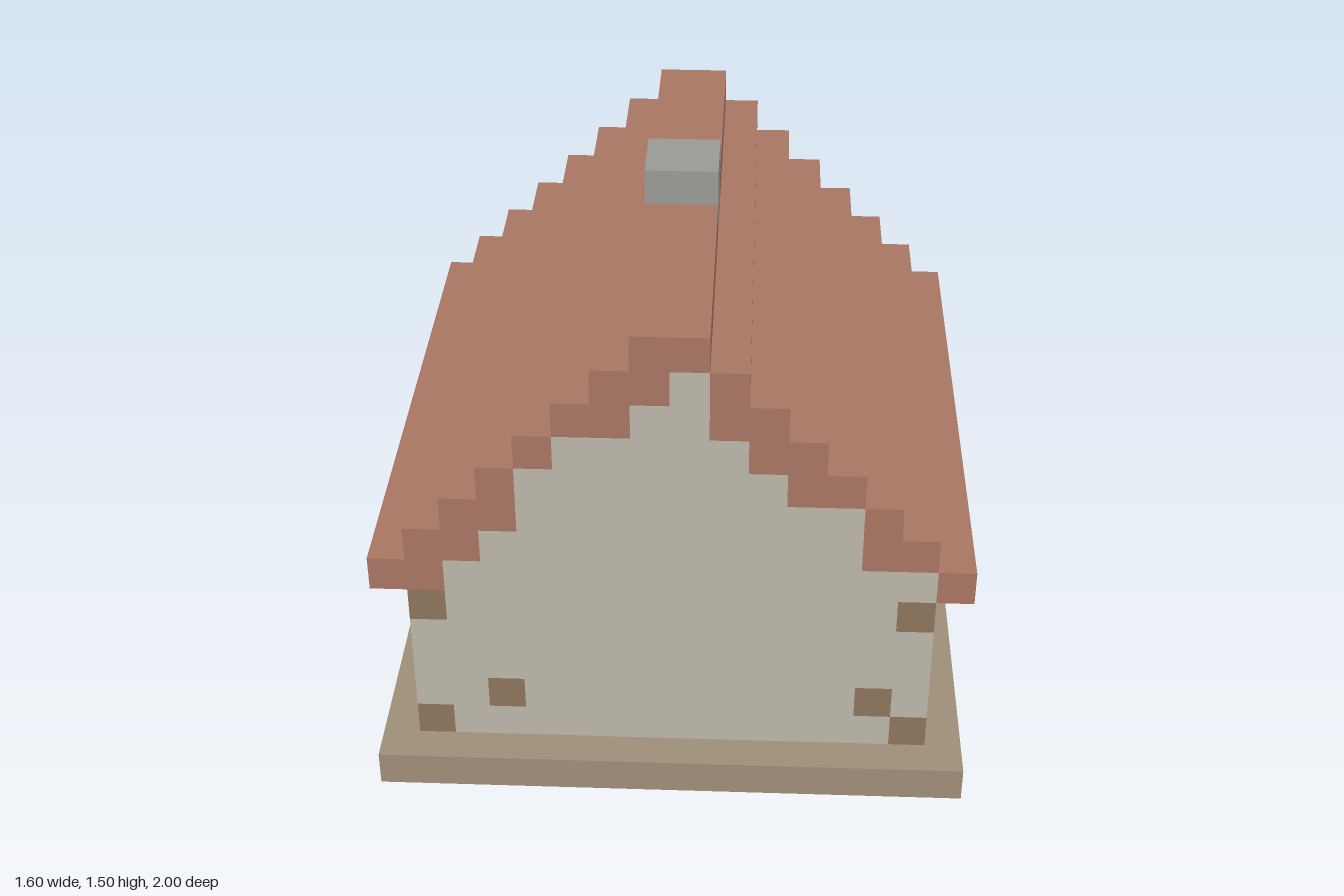
import * as THREE from 'three';
import { mergeGeometries } from 'three/addons/utils/BufferGeometryUtils.js';

const U = 0.1; // size of one block

const COLORS = {
  basePlate: 0x9e8e77, walls: 0xbab5a8, timber: 0x8b745b, roof: 0xa87563,
  chimney: 0x999994, boardFrame: 0xa89c64, boardPanel: 0x9a7b60,
  boardOpenings: 0x66513f, window: 0x5f7f98,
};

// One face per block side: outward direction and the turn that aims a plane along it
const SIDES = [
  [1, 0, 0, 0, Math.PI / 2], [-1, 0, 0, 0, -Math.PI / 2],
  [0, 1, 0, -Math.PI / 2, 0], [0, -1, 0, Math.PI / 2, 0],
  [0, 0, 1, 0, 0], [0, 0, -1, 0, Math.PI],
].map(([x, y, z, rx, ry]) => ({
  d: [x, y, z],
  plane: new THREE.PlaneGeometry(U, U).rotateX(rx).rotateY(ry).translate(x * U / 2, y * U / 2, z * U / 2),
}));

export function createModel() {
  const blocks = new Map();
  const key = (x, y, z) => `${x},${y},${z}`;

  // Fills a range of blocks; upper limits are exclusive, later fills replace earlier ones
  function fill(part, x0, x1, y0, y1, z0, z1) {
    for (let x = x0; x < x1; x++)
      for (let y = y0; y < y1; y++)
        for (let z = z0; z < z1; z++) blocks.set(key(x, y, z), { part, x, y, z });
  }

  fill('basePlate', -8, 8, 0, 1, -10, 10);

  // Side walls, one block thick
  fill('walls', -7, -6, 1, 7, -7, 9);
  fill('walls', 6, 7, 1, 7, -7, 9);

  // Front and back gable walls
  for (const z of [8, -7]) {
    fill('walls', -7, 7, 1, 6, z, z + 1);
    for (let y = 6; y < 13; y++) fill('walls', y - 13, 13 - y, y, y + 1, z, z + 1);
  }

  // Stepped roof: blocks per step on the right and left slope
  const rightDepth = [2, 2, 2, 1, 1, 2, 2, 1];
  const leftDepth = [1, 2, 1, 2, 2, 2, 1, 1];
  for (let i = 0; i < 8; i++) {
    fill('roof', i - 8, i - 8 + rightDepth[i], 6 + i, 7 + i, -7, 9);
    fill('roof', 8 - i - leftDepth[i], 8 - i, 6 + i, 7 + i, -7, 9);
  }

  // Chimney rising from the floor through the ridge
  fill('chimney', -1, 1, 1, 15, 0, 2);

  // Corner posts and exposed timber in the walls
  for (const x of [-7, 6]) {
    fill('timber', x, x + 1, 1, 6, -7, -6);
    fill('timber', x, x + 1, 1, 2, 8, 9);
    fill('timber', x, x + 1, 5, 6, 8, 9);
    fill('timber', x, x + 1, 2, 3, 6, 7);
  }
  fill('timber', -5, -4, 2, 3, 8, 9);
  fill('timber', 5, 6, 2, 3, 8, 9);

  // Small window in the back wall
  fill('window', 3, 4, 2, 3, -7, -6);

  // Framed board in front of the back wall, with two dark openings
  fill('boardFrame', -7, 3, 2, 6, -8, -7);
  fill('boardPanel', -6, 2, 2, 5, -8, -7);
  fill('boardOpenings', -6, -3, 3, 5, -8, -7);
  fill('boardOpenings', -2, 2, 3, 5, -8, -7);

  // Low wooden feet around the board
  fill('timber', 3, 4, 1, 2, -8, -7);
  fill('timber', -3, -2, 1, 2, -8, -7);
  fill('timber', -7, -6, 1, 2, -10, -8);

  // Each part gets the faces not covered by a neighbour; the underside stays open
  const faces = {};
  for (const { part, x, y, z } of blocks.values()) {
    for (const { d, plane } of SIDES) {
      if (y + d[1] < 0 || blocks.has(key(x + d[0], y + d[1], z + d[2]))) continue;
      (faces[part] ??= []).push(plane.clone().translate((x + 0.5) * U, (y + 0.5) * U, (z + 0.5) * U));
    }
  }

  const model = new THREE.Group();
  model.name = 'house';
  for (const [part, list] of Object.entries(faces)) {
    const material = new THREE.MeshStandardMaterial({ color: COLORS[part], side: THREE.DoubleSide });
    const mesh = new THREE.Mesh(mergeGeometries(list), material);
    mesh.name = part;
    model.add(mesh);
  }
  return model;
}
